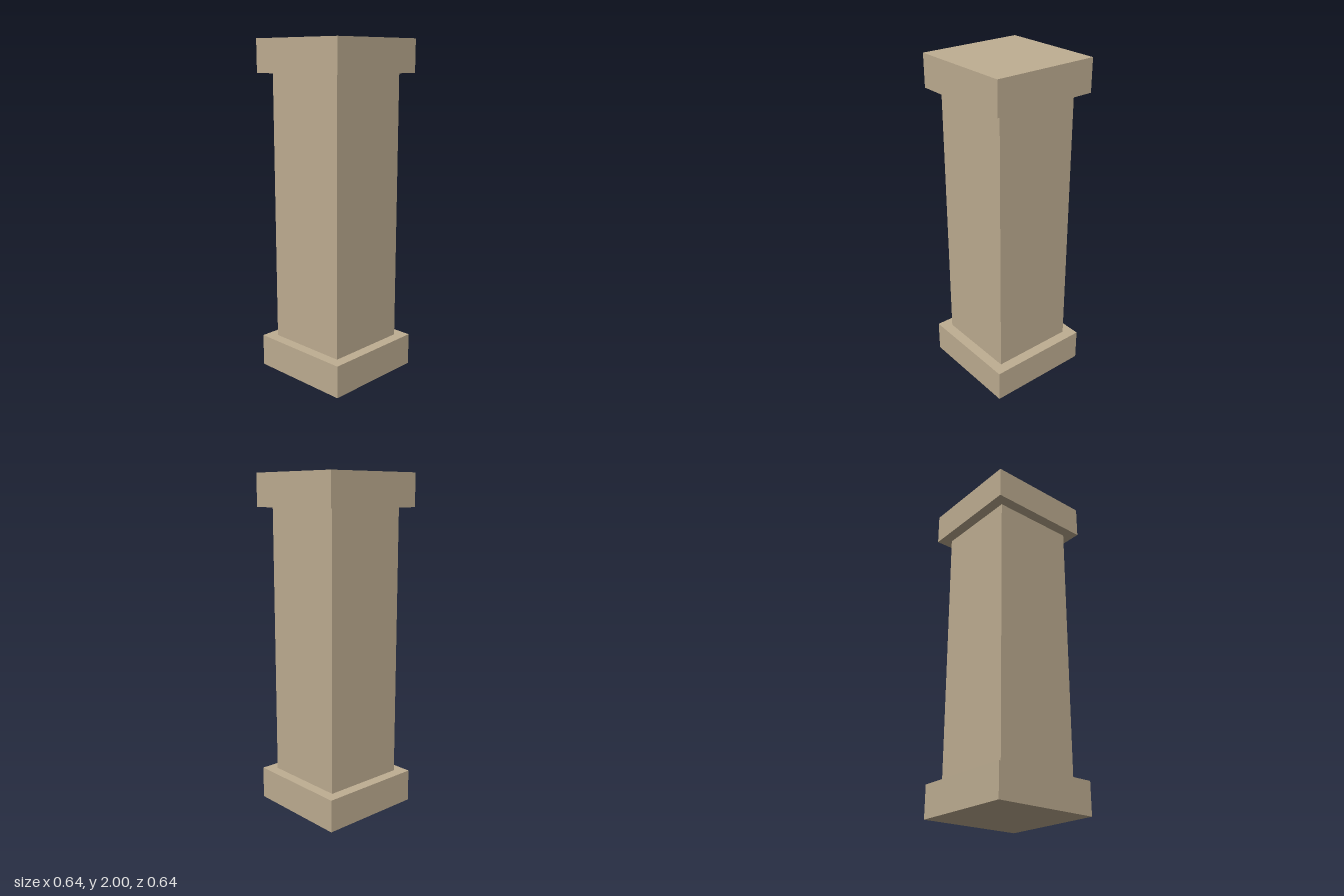
import * as THREE from 'three';

export function createModel() {
  const model = new THREE.Group();
  model.name = 'pillar';

  const sandstone = new THREE.MeshStandardMaterial({ color: 0xbfae92 });
  sandstone.name = 'sandstone';

  const height = 2;
  const slabWidth = 0.645;
  const slabHeight = 0.194;
  const shaftWidth = 0.516;

  // Square block standing on the given height
  const addBlock = (name, width, blockHeight, bottom) => {
    const mesh = new THREE.Mesh(new THREE.BoxGeometry(width, blockHeight, width), sandstone);
    mesh.name = name;
    mesh.position.y = bottom + blockHeight / 2;
    model.add(mesh);
  };

  addBlock('base', slabWidth, slabHeight, 0);
  addBlock('shaft', shaftWidth, height - 2 * slabHeight, slabHeight);
  addBlock('capital', slabWidth, slabHeight, height - slabHeight);

  return model;
}
